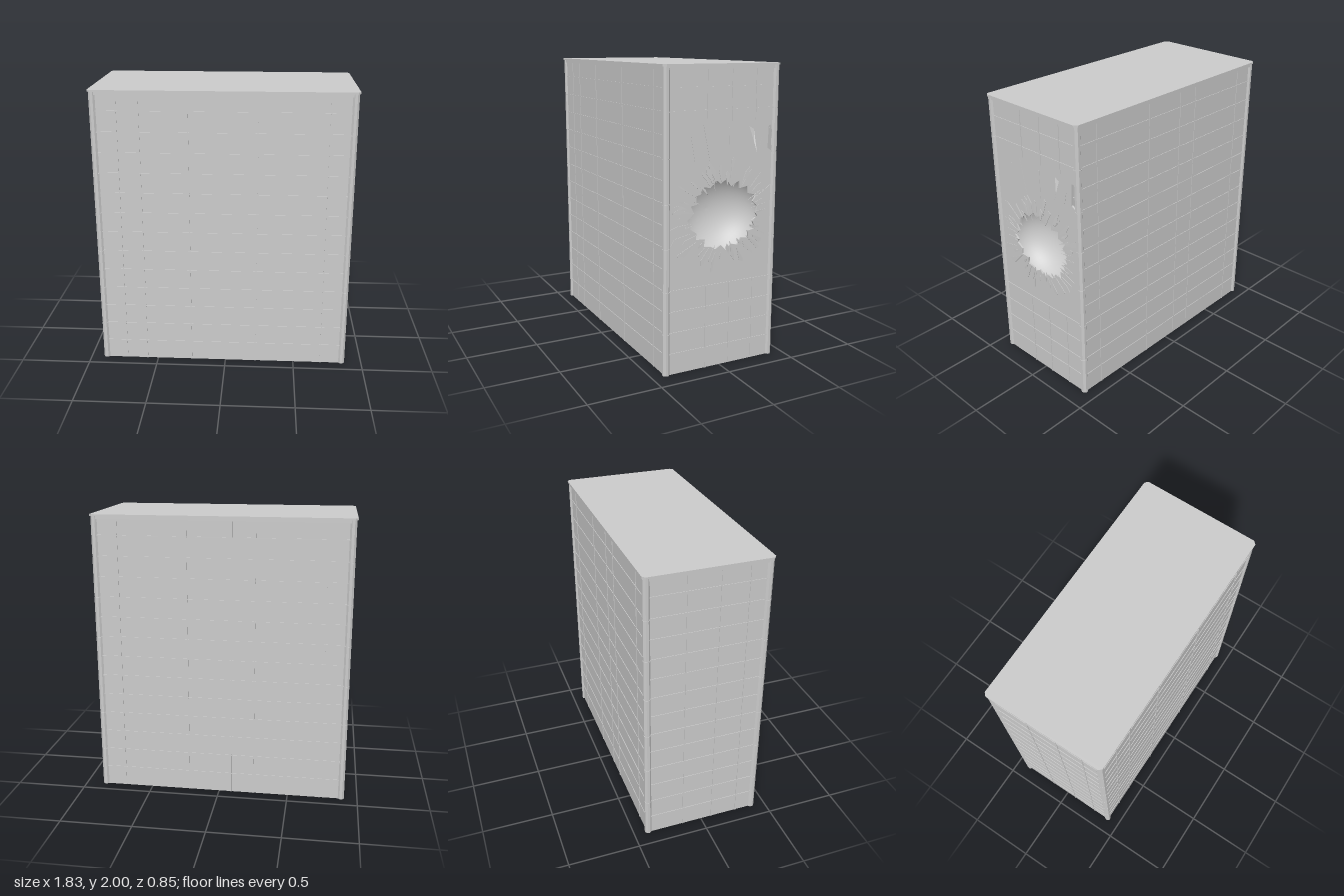
import * as THREE from 'three';

const material = new THREE.MeshStandardMaterial({ color: 0xcccccc, side: THREE.DoubleSide });
const CX = -0.015;          // centre of the tower body
const HX = 0.892, HZ = 0.42; // half sizes to the outside of the corner posts
const RECESS = 0.012, THICK = 0.012, TOP = 1.966;
const ROW = 1 / 7;
const HOLE = [0.02, 1.03];  // centre of the breach on the side wall

let seed = 7;
const rand = () => (seed = (seed * 16807) % 2147483647) / 2147483647;
const range = (a, b) => a + (b - a) * rand();

function add(parent, name, geometry, x = 0, y = 0, z = 0) {
  const mesh = new THREE.Mesh(geometry, material);
  mesh.name = name;
  mesh.position.set(x, y, z);
  parent.add(mesh);
  return mesh;
}

// Rectangle with cut corners
function cutRect(hw, hd, c) {
  return new THREE.Shape([
    [-hw + c, -hd], [hw - c, -hd], [hw, -hd + c], [hw, hd - c],
    [hw - c, hd], [-hw + c, hd], [-hw, hd - c], [-hw, -hd + c],
  ].map(([x, y]) => new THREE.Vector2(x, y)));
}

// Flat outline standing as a horizontal slab, bottom at y = 0
function slab(shape, height) {
  return new THREE.ExtrudeGeometry(shape, { depth: height, bevelEnabled: false }).rotateX(-Math.PI / 2);
}

// Point around the breach, slightly wider than tall
const around = (a, r) => new THREE.Vector2(HOLE[0] + Math.cos(a) * r * 1.08, HOLE[1] + Math.sin(a) * r * 0.95);

function breachPaths() {
  const pts = [];
  const n = 38;
  for (let i = 0; i < n; i++) {
    const a = ((i + range(-0.3, 0.3)) / n) * Math.PI * 2;
    pts.push(around(a, i % 2 ? range(0.235, 0.265) : range(0.2, 0.23)));
  }
  const slot = [[0.345, 1.45], [0.375, 1.43], [0.375, 1.6], [0.35, 1.6]];
  return [new THREE.Path(pts), new THREE.Path(slot.map(p => new THREE.Vector2(...p)))];
}

// One curtain wall facing local +z: sheet plus shallow glazing bars on both sides
function makeWall(name, width, columns, broken) {
  const wall = new THREE.Group();
  wall.name = name;
  const w = width / 2;
  const sheet = new THREE.Shape([[-w, 0], [w, 0], [w, TOP], [-w, TOP]].map(p => new THREE.Vector2(...p)));
  if (broken) sheet.holes.push(...breachPaths());
  add(wall, 'panelSheet', new THREE.ExtrudeGeometry(sheet, { depth: THICK, bevelEnabled: false }), 0, 0, -THICK);

  const sides = [[0.002, 0.004], [-THICK - 0.005, 0.01]];
  const spans = broken ? [[0, 0.57], [1.64, TOP]] : [[0, TOP]];
  for (const [z, depth] of sides) {
    for (let y = ROW; y < TOP - 0.02; y += ROW) {
      if (spans.some(([a, b]) => y > a && y <= b + 0.01))
        add(wall, 'horizontalBar', new THREE.BoxGeometry(width, 0.007, depth), 0, y, z);
    }
    for (const x of columns) for (const [a, b] of spans)
      add(wall, 'verticalBar', new THREE.BoxGeometry(0.007, b - a, depth), x, (a + b) / 2, z);
  }
  return wall;
}

// Cracked slivers radiating from the breach, lifting a little toward its rim
function addShards(wall) {
  const shards = new THREE.Group();
  shards.name = 'crackedShards';
  wall.add(shards);
  const n = 46;
  for (let i = 0; i < n; i++) {
    const a = ((i + range(-0.35, 0.35)) / n) * Math.PI * 2;
    const inner = range(0.19, 0.26);
    const outer = inner + range(0.05, 0.17);
    const half = range(0.015, 0.06);
    const lift = range(0.001, 0.006);
    const shape = new THREE.Shape([
      around(a, inner), around(a + half, outer * range(0.85, 1)),
      around(a + half * 0.3, outer), around(a - half, outer * range(0.8, 1)),
    ]);
    const geo = new THREE.ExtrudeGeometry(shape, { depth: 0.003, bevelEnabled: false });
    const pos = geo.attributes.position;
    for (let k = 0; k < pos.count; k++) {
      const x = Math.max(-0.37, Math.min(0.37, pos.getX(k)));
      const r = Math.hypot(x - HOLE[0], pos.getY(k) - HOLE[1]);
      const t = THREE.MathUtils.clamp((outer - r) / (outer - inner), 0, 1);
      pos.setXYZ(k, x, pos.getY(k), pos.getZ(k) - 0.001 + lift * t);
    }
    geo.computeVertexNormals();
    add(shards, 'shard', geo);
  }
  // Long hairline splinters above the breach
  for (const [x0, y0, x1, y1] of [
    [0.05, 1.2, 0.14, 1.63], [-0.05, 1.4, -0.05, 1.6], [0.2, 1.4, 0.23, 1.57], [-0.28, 1.44, -0.3, 1.53],
  ].map(([a, b, c, d]) => [-a, b, -c, d])) {
    const bar = add(shards, 'splinter', new THREE.BoxGeometry(0.003, Math.hypot(x1 - x0, y1 - y0), 0.002),
      (x0 + x1) / 2, (y0 + y1) / 2, 0.001);
    bar.rotation.z = -Math.atan2(x1 - x0, y1 - y0);
  }
}

export function createModel() {
  const model = new THREE.Group();
  model.name = 'damagedTowerBlock';

  // Roof with a stepped rail below it
  add(model, 'roof', slab(cutRect(0.9, 0.426, 0.02), 0.013), CX, 1.987, 0);
  add(model, 'roofRail', slab(cutRect(HX - 0.004, HZ - 0.004, 0.015), 0.022), CX, TOP, 0);

  // Corner posts in seven segments over a slightly thinner core
  const postSize = 0.023;
  for (const sx of [-1, 1]) for (const sz of [-1, 1]) {
    const post = new THREE.Group();
    post.name = 'cornerPost';
    post.position.set(CX + sx * (HX - postSize), 0, sz * (HZ - postSize));
    add(post, 'postCore', slab(cutRect(postSize - 0.003, postSize - 0.003, 0.012), 1.987));
    const step = 2 / 7;
    for (let i = 0; i < 7; i++) {
      const end = Math.min((i + 1) * step - 0.005, 1.987);
      add(post, 'postSegment', slab(cutRect(postSize, postSize, 0.014), end - i * step), 0, i * step, 0);
    }
    model.add(post);
  }

  // Four walls between the posts; columns run in each wall's own left-to-right order
  const wide = 2 * HX - 0.04, narrow = 2 * HZ - 0.04;
  const walls = [
    ['frontWall', wide, [-0.715, -0.565, -0.235, 0.235, 0.715], 0],
    ['backWall', wide, [-0.715, -0.235, 0.075, 0.235, 0.715], Math.PI],
    ['leftWall', narrow, [-0.11, 0.07, 0.25], Math.PI / 2],
    ['rightWall', narrow, [-0.14, 0.08, 0.27], -Math.PI / 2],
  ];
  for (const [name, width, columns, turn] of walls) {
    const broken = name === 'leftWall';
    const wall = makeWall(name, width, columns, broken);
    const out = (width === wide ? HZ : HX) - RECESS;
    wall.rotation.y = turn;
    wall.position.set(CX + Math.sin(turn) * out, 0, Math.cos(turn) * out);
    model.add(wall);
    if (!broken) continue;

    addShards(wall);
    // Smooth hollow behind the breach
    const arc = [];
    for (let i = 0; i <= 16; i++) {
      const a = (i / 16) * Math.PI / 2;
      arc.push(new THREE.Vector2(Math.sin(a) * 0.29, -Math.cos(a) * 0.22));
    }
    const hollow = new THREE.LatheGeometry(arc, 48).rotateX(Math.PI / 2);
    add(wall, 'crater', hollow, HOLE[0], HOLE[1], -THICK - 0.001);
  }

  // Loose curled sliver sticking out of the broken wall
  const sliver = new THREE.BufferGeometry();
  sliver.setAttribute('position', new THREE.Float32BufferAttribute([
    0.865, 1.6, -0.2, 0.865, 1.58, -0.235, 0.885, 1.5, -0.225,
    0.865, 1.58, -0.235, 0.915, 1.43, -0.23, 0.885, 1.5, -0.225,
  ], 3));
  sliver.computeVertexNormals();
  add(model, 'looseSliver', sliver);

  return model;
}
